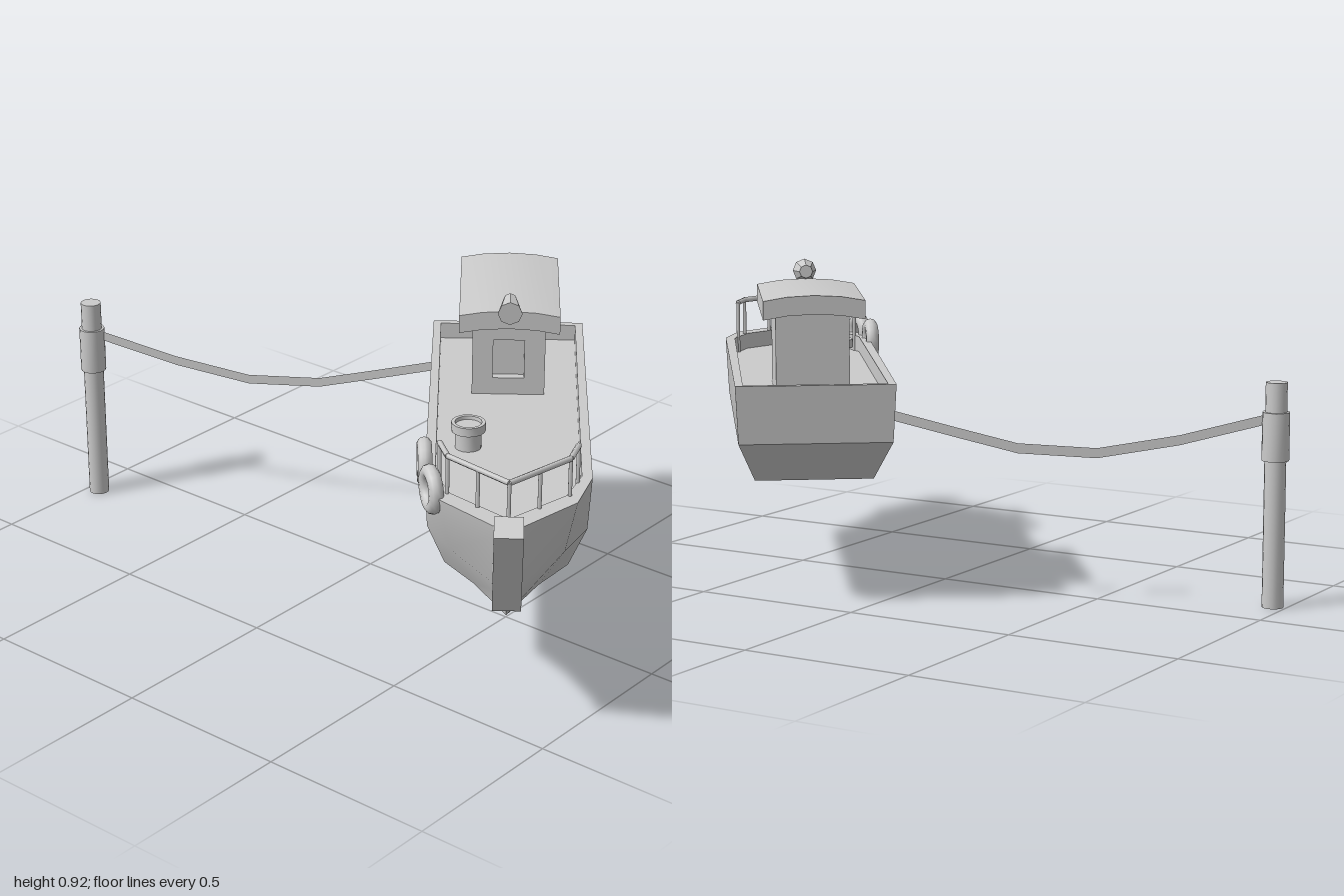
import * as THREE from 'three';
import { toCreasedNormals } from 'three/addons/utils/BufferGeometryUtils.js';

const material = new THREE.MeshStandardMaterial({ color: 0xcccccc });
const thin = new THREE.MeshStandardMaterial({ color: 0xcccccc, side: THREE.DoubleSide });

function add(parent, name, geometry, x = 0, y = 0, z = 0, mat = material) {
  const mesh = new THREE.Mesh(geometry, mat);
  mesh.name = name;
  mesh.position.set(x, y, z);
  parent.add(mesh);
  return mesh;
}

const cylinder = (top, bottom, height, sides = 16) =>
  toCreasedNormals(new THREE.CylinderGeometry(top, bottom, height, sides), 0.7);

// Hull: half sections from deck edge, over the rim, down the side to the keel
function hullGeometry() {
  const deck = 0.58, rim = 0.627;
  const stations = [
    [[0.198, deck, 0.02], [0.198, rim, 0.02], [0.22, rim, 0], [0.212, 0.465, 0.01], [0.165, 0.347, 0.11], [0, 0.347, 0.11]],
    [[0.192, deck, 1.035], [0.192, rim, 1.035], [0.22, rim, 1.045], [0.212, 0.465, 1.02], [0.165, 0.347, 1.0], [0, 0.312, 1.0]],
    [[0.15, deck, 1.15], [0.15, rim, 1.15], [0.178, rim, 1.19], [0.15, 0.465, 1.15], [0.085, 0.337, 1.1], [0, 0.309, 1.1]],
    [[0, deck, 1.29], [0, rim, 1.29], [0, rim, 1.37], [0, 0.43, 1.325], [0, 0.335, 1.265], [0, 0.306, 1.185]],
  ];
  const rings = stations.map(half => [
    ...half,
    ...half.slice(0, 5).reverse().map(([x, y, z]) => [-x, y, z]),
  ]);
  const n = 11, positions = [];
  const quad = (a, b, c, d) => positions.push(...a, ...b, ...c, ...a, ...c, ...d);
  for (let s = 0; s < rings.length - 1; s++) {
    for (let i = 0; i < n; i++) {
      const j = (i + 1) % n;
      quad(rings[s][i], rings[s + 1][i], rings[s + 1][j], rings[s][j]);
    }
  }
  // Stern: transom, rim and inner wall
  const r = rings[0];
  for (let i = 0; i < 5; i++) quad(r[i], r[i + 1], r[9 - i], r[10 - i]);
  const geometry = new THREE.BufferGeometry();
  geometry.setAttribute('position', new THREE.Float32BufferAttribute(positions, 3));
  return toCreasedNormals(geometry, 0.6);
}

// Straight round bar between two points
function bar(parent, name, a, b, radius) {
  const mesh = add(parent, name, new THREE.CylinderGeometry(radius, radius, a.distanceTo(b), 6));
  mesh.position.copy(a).add(b).multiplyScalar(0.5);
  mesh.quaternion.setFromUnitVectors(new THREE.Vector3(0, 1, 0), b.clone().sub(a).normalize());
}

function buildCabin(boat) {
  const cabin = new THREE.Group();
  cabin.name = 'cabin';
  boat.add(cabin);
  const depth = 0.027, back = 0.148, front = 0.418;
  add(cabin, 'cabinBody', new THREE.BoxGeometry(0.205, 0.25, front - depth - back),
    0, 0.695, (back + front - depth) / 2);

  // Front wall with recessed window
  const rect = (path, w, y0, y1) => path.moveTo(-w, y0).lineTo(w, y0).lineTo(w, y1).lineTo(-w, y1).closePath();
  const wall = new THREE.Shape();
  rect(wall, 0.1025, 0.57, 0.82);
  const opening = new THREE.Path();
  rect(opening, 0.044, 0.63, 0.746);
  wall.holes.push(opening);
  add(cabin, 'cabinFrontWall', new THREE.ExtrudeGeometry(wall, { depth, bevelEnabled: false }), 0, 0, front - depth);

  // Cambered roof slab
  const arch = [[-0.14, 0.852], [-0.075, 0.863], [0, 0.867], [0.075, 0.863], [0.14, 0.852]];
  const roof = new THREE.Shape([
    ...arch.map(([x, y]) => new THREE.Vector2(x, y)),
    ...arch.map(([x, y]) => new THREE.Vector2(x, y - 0.052)).reverse(),
  ]);
  add(cabin, 'roof', toCreasedNormals(
    new THREE.ExtrudeGeometry(roof, { depth: 0.446, bevelEnabled: false }), 0.5), 0, 0, 0.054);

  // Searchlight at the roof's front edge
  const lamp = add(cabin, 'searchlight', cylinder(0.034, 0.019, 0.09, 8), 0, 0.887, 0.513);
  lamp.rotation.x = Math.PI / 2 + 0.06;
}

function buildRailing(boat) {
  const railing = new THREE.Group();
  railing.name = 'bowRailing';
  boat.add(railing);
  const corners = [[0.18, 1.07], [0.158, 1.15], [0, 1.3], [-0.158, 1.15], [-0.18, 1.07]]
    .map(([x, z]) => new THREE.Vector3(x, 0.733, z));
  const post = p => bar(railing, 'railPost', new THREE.Vector3(p.x, 0.58, p.z), p, 0.006);
  corners.forEach((p, i) => {
    post(p);
    if (i === 4) return;
    bar(railing, 'topRail', p, corners[i + 1], 0.008);
    if (i === 1 || i === 2) post(p.clone().lerp(corners[i + 1], 0.5));
  });
}

export function createModel() {
  const model = new THREE.Group();
  model.name = 'mooredBoat';

  const boat = new THREE.Group();
  boat.name = 'boat';
  boat.position.set(0.09, 0, -0.529);
  boat.rotation.y = 0.65;
  model.add(boat);

  add(boat, 'hull', hullGeometry());
  const stem = add(boat, 'stemTimber', new THREE.BoxGeometry(0.075, 0.32, 0.067), 0, 0.528, 1.35);
  stem.rotation.x = 0.475;
  buildCabin(boat);
  buildRailing(boat);

  // Bollard with a wider, dished head
  const profile = [[0, 0.575], [0.036, 0.575], [0.036, 0.628], [0.047, 0.63], [0.047, 0.655], [0.037, 0.655], [0.036, 0.645], [0, 0.645]]
    .map(([x, y]) => new THREE.Vector2(x, y));
  add(boat, 'bollard', toCreasedNormals(new THREE.LatheGeometry(profile, 16), 0.6), -0.108, 0, 0.77);

  // Tyre fenders on the mooring side
  for (const [x, z, turn] of [[-0.222, 0.961, 0.07], [-0.2, 1.125, 0.31]]) {
    const tyre = add(boat, 'tyreFender', new THREE.TorusGeometry(0.047, 0.02, 10, 20), x, 0.625, z);
    tyre.rotation.y = Math.PI / 2 + turn;
  }

  // Mooring post with rope collar
  add(model, 'mooringPost', cylinder(0.03, 0.03, 0.63), -0.962, 0.315, 0.163);
  add(model, 'ropeCollar', cylinder(0.038, 0.038, 0.135), -0.962, 0.48, 0.163);

  // Sagging rope: a flat upright band
  const sag = [[-0.935, 0.525], [-0.727, 0.465], [-0.525, 0.426], [-0.33, 0.437], [-0.176, 0.48], [-0.02, 0.525]];
  const rope = new THREE.PlaneGeometry(1, 1, sag.length - 1, 1);
  const pos = rope.attributes.position;
  for (let i = 0; i < pos.count; i++) {
    const [x, y] = sag[i % sag.length];
    const t = (x + 0.935) / 0.915;
    pos.setXYZ(i, x, y + (i < sag.length ? 0.014 : -0.014), THREE.MathUtils.lerp(0.15, -0.315, t));
  }
  rope.computeVertexNormals();
  add(model, 'mooringRope', rope, 0, 0, 0, thin);

  return model;
}
